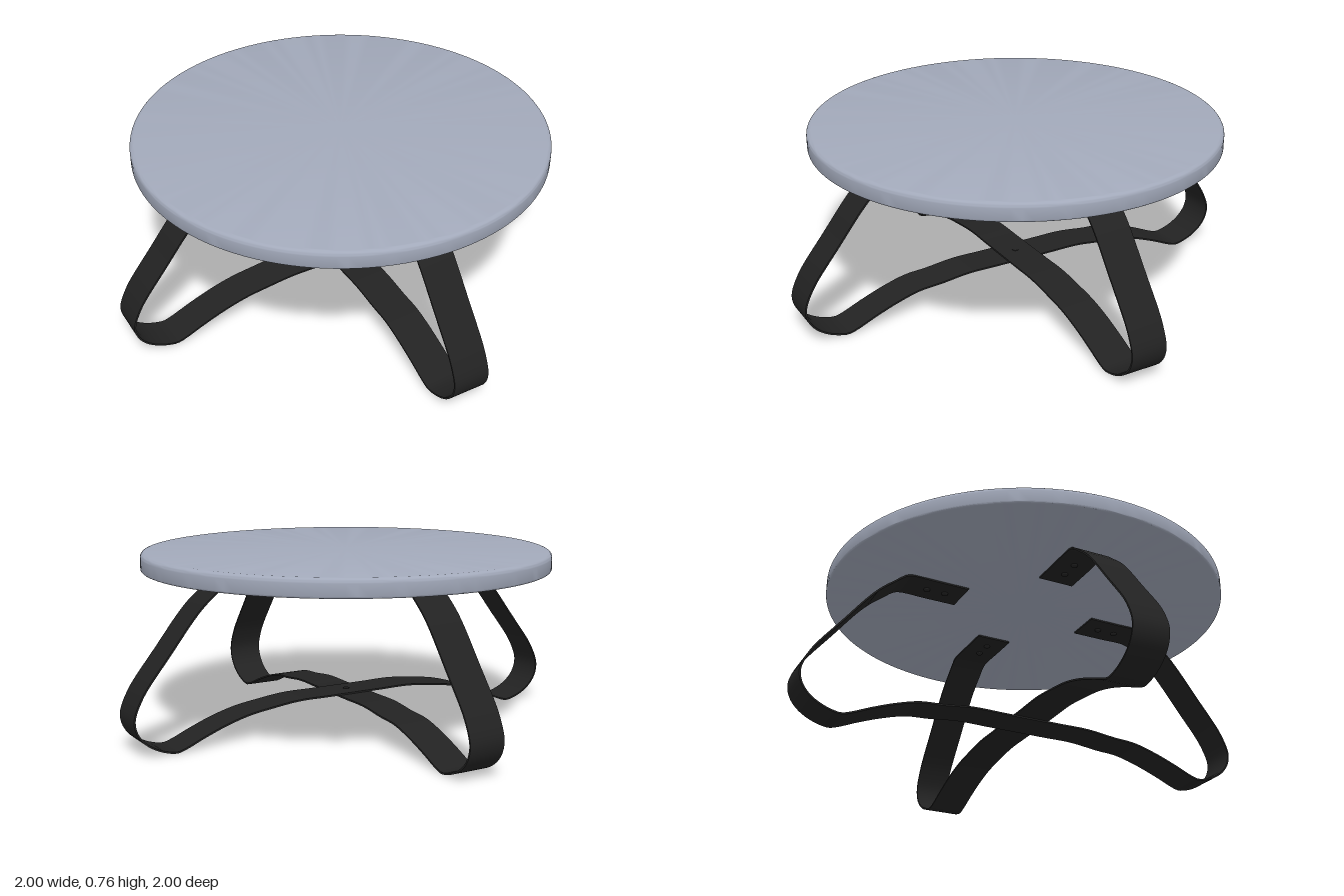
import * as THREE from 'three';
import { toCreasedNormals } from 'three/addons/utils/BufferGeometryUtils.js';

const BAND_WIDTH = 0.155;
const BAND_THICKNESS = 0.007;

// Bent flat-bar outline: foot arch in the middle, a leg on each side, flanges under the top
function bandGeometry(crossHeight) {
  const half = [
    [0.3, 0.678], [0.44, 0.678], [0.555, 0.678], [0.585, 0.668], [0.63, 0.633], [0.69, 0.583],
    [0.74, 0.529], [0.84, 0.402], [0.94, 0.275], [0.965, 0.235], [0.99, 0.18], [0.996, 0.145],
    [0.985, 0.1], [0.955, 0.06], [0.91, 0.029], [0.86, 0.01], [0.82, 0.004], [0.785, 0.014],
    [0.7, 0.05], [0.6, 0.087], [0.5, 0.114], [0.4, crossHeight - 0.014], [0.27, crossHeight], [0.13, crossHeight],
  ].map(([x, y]) => new THREE.Vector3(x, y, 0));
  const mirrored = half.map((p) => new THREE.Vector3(-p.x, p.y, 0)).reverse();
  const curve = new THREE.CatmullRomCurve3(
    [...half, new THREE.Vector3(0, crossHeight, 0), ...mirrored], false, 'centripetal');

  // Offset the centre line to both sides to give the bar its thickness
  const steps = 240;
  const outer = [], inner = [];
  for (let i = 0; i <= steps; i++) {
    const p = curve.getPointAt(i / steps);
    const t = curve.getTangentAt(i / steps);
    const nx = -t.y * BAND_THICKNESS / 2, ny = t.x * BAND_THICKNESS / 2;
    outer.push(new THREE.Vector2(p.x + nx, p.y + ny));
    inner.push(new THREE.Vector2(p.x - nx, p.y - ny));
  }
  const shape = new THREE.Shape([...outer, ...inner.reverse()]);
  const geometry = new THREE.ExtrudeGeometry(shape, { depth: BAND_WIDTH, bevelEnabled: false });
  geometry.translate(0, 0, -BAND_WIDTH / 2);
  return toCreasedNormals(geometry, 0.6);
}

// Round disc with softened rims
function topGeometry() {
  const radius = 0.862, bottom = 0.682, top = 0.757, round = 0.02;
  const profile = [new THREE.Vector2(0, bottom)];
  const corner = (cy, r, start) => {
    for (let i = 0; i <= 6; i++) {
      const a = start + (i / 6) * Math.PI / 2;
      profile.push(new THREE.Vector2(radius - r + Math.cos(a) * r, cy + Math.sin(a) * r));
    }
  };
  corner(bottom + 0.008, 0.008, -Math.PI / 2);
  corner(top - round, round, 0);
  profile.push(new THREE.Vector2(0, top));
  return toCreasedNormals(new THREE.LatheGeometry(profile, 128), 0.6);
}

export function createModel() {
  const model = new THREE.Group();
  model.name = 'roundTable';
  const topPaint = new THREE.MeshStandardMaterial({ color: 0xa2a9ba });
  topPaint.name = 'blueGreyTop';
  const black = new THREE.MeshStandardMaterial({ color: 0x222222 });
  black.name = 'blackSteel';

  const add = (name, geometry, material, parent = model) => {
    const mesh = new THREE.Mesh(geometry, material);
    mesh.name = name;
    parent.add(mesh);
    return mesh;
  };

  add('tableTop', topGeometry(), topPaint);

  // Two crossing bars, one resting on the other, with screws in the flanges
  const screwGeometry = new THREE.SphereGeometry(0.014, 16, 10);
  [['sideLegs', 0.143, 0], ['frontBackLegs', 0.136, Math.PI / 2]].forEach(([name, height, turn]) => {
    const legs = new THREE.Group();
    legs.name = name;
    legs.rotation.y = turn;
    add('bentBar', bandGeometry(height), black, legs);
    for (const x of [-0.46, -0.378, 0.378, 0.46]) {
      const screw = add('flangeScrew', screwGeometry, black, legs);
      screw.position.set(x, 0.674, 0);
      screw.scale.y = 0.75;
    }
    model.add(legs);
  });

  // Bolt where the bars cross
  const bolt = add('crossBolt', new THREE.CylinderGeometry(0.014, 0.014, 0.016, 20), black);
  bolt.position.y = 0.141;
  return model;
}
